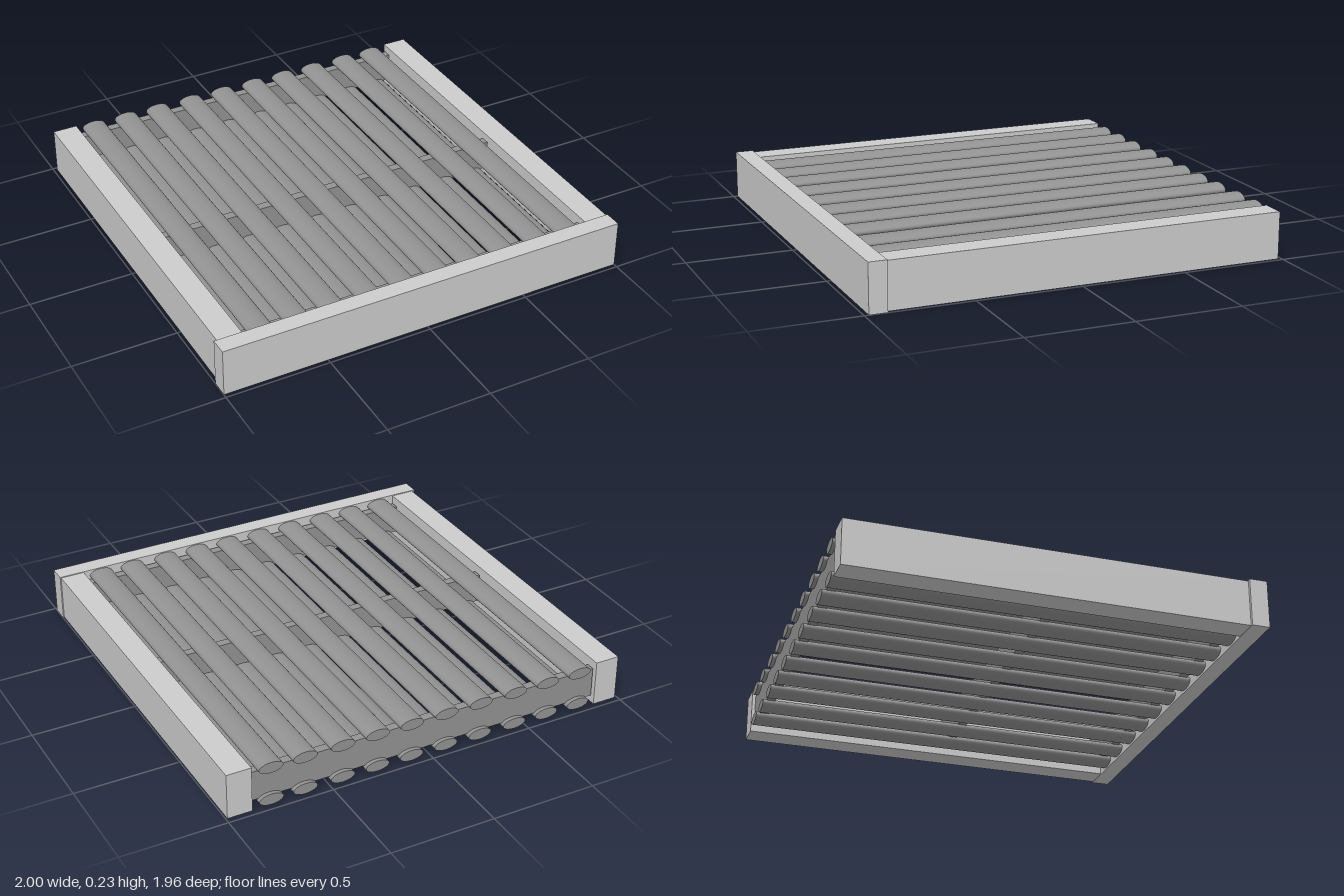
import * as THREE from 'three';

export function createModel() {
  const model = new THREE.Group();
  const light = new THREE.MeshStandardMaterial({ color: 0xcccccc });
  const dark = new THREE.MeshStandardMaterial({ color: 0x929292 });

  // Box given by its minimum and maximum corners
  const box = (name, material, [x0, y0, z0], [x1, y1, z1]) => {
    const mesh = new THREE.Mesh(new THREE.BoxGeometry(x1 - x0, y1 - y0, z1 - z0), material);
    mesh.position.set((x0 + x1) / 2, (y0 + y1) / 2, (z0 + z1) / 2);
    mesh.name = name;
    model.add(mesh);
  };

  // Front beam in two butted halves
  box('frontBeamRight', light, [-1, 0, 0.895], [0, 0.23, 0.98]);
  box('frontBeamLeft', light, [0, 0, 0.895], [1, 0.23, 0.98]);

  // Side beams
  box('sideBeamRight', light, [-0.985, 0.004, -0.977], [-0.867, 0.226, 0.895]);
  box('sideBeamLeft', light, [0.877, 0.004, -0.977], [0.995, 0.226, 0.895]);

  // Upright cross boards, each in two halves, between the slat layers
  for (const z of [-0.94, 0.035, 0.858]) {
    box('crossBoardRight', dark, [-0.86, 0.045, z - 0.021], [0.015, 0.19, z + 0.021]);
    box('crossBoardLeft', dark, [0.015, 0.045, z - 0.021], [0.877, 0.19, z + 0.021]);
  }

  // Oval slats running front to back, one layer above and one below
  const slat = new THREE.CylinderGeometry(1, 1, 1.875, 28);
  slat.rotateX(Math.PI / 2);
  slat.scale(0.058, 0.0265, 1);
  const slatX = [-0.775, -0.604, -0.433, -0.251, -0.075, 0.1, 0.271, 0.442, 0.624, 0.787];
  for (const [name, y] of [['topSlat', 0.199], ['bottomSlat', 0.036]]) {
    for (const x of slatX) {
      const mesh = new THREE.Mesh(slat, dark);
      mesh.position.set(x, y, -0.0425);
      mesh.name = name;
      model.add(mesh);
    }
  }
  return model;
}
